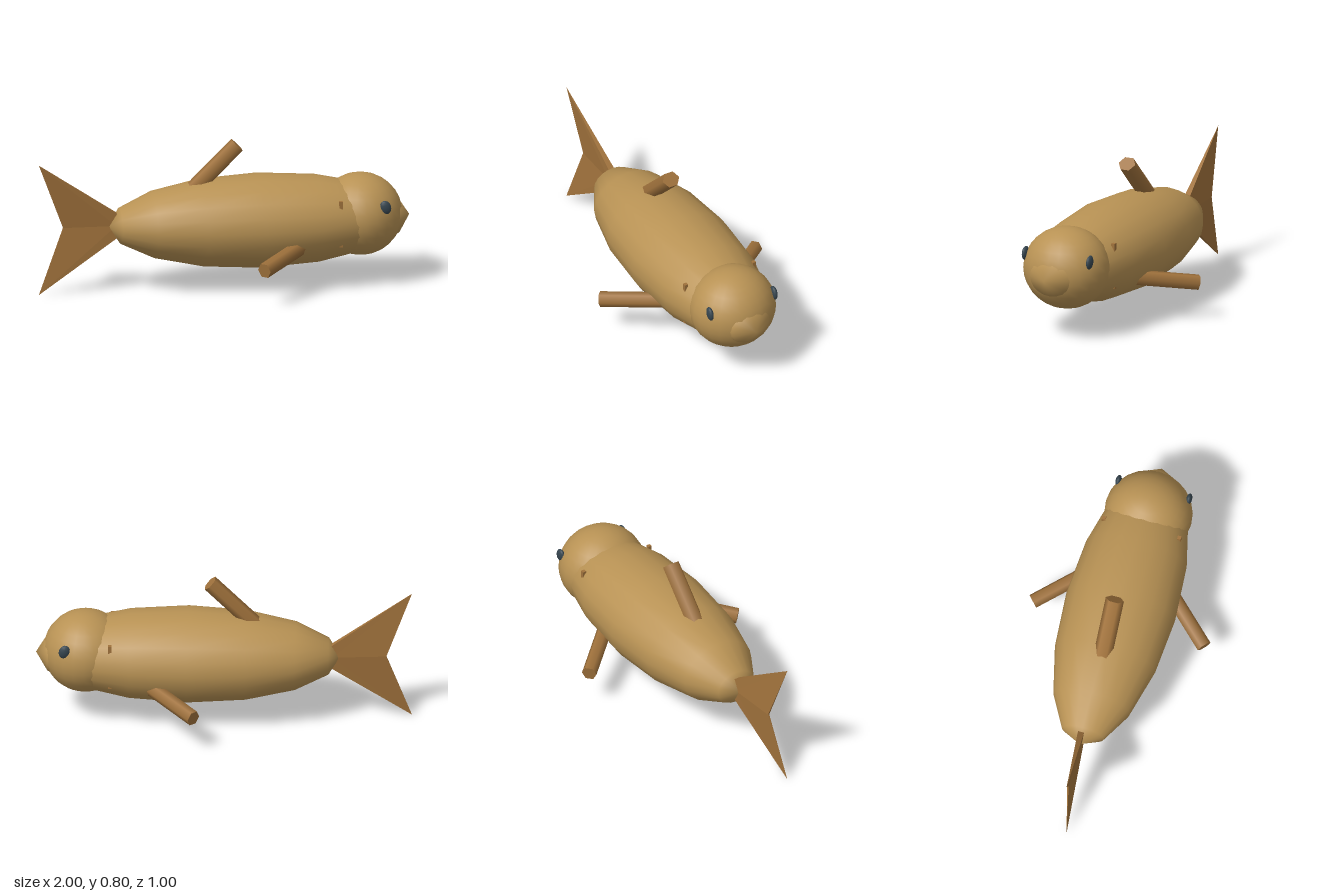
import * as THREE from 'three';

const paint = (color, extra = {}) => {
  const m = new THREE.MeshStandardMaterial(extra);
  m.color.set(color);
  return m;
};

export function createModel() {
  const fish = new THREE.Group();
  const skin = paint(0xb89254);
  const finMat = paint(0xa0723c);
  const tailMat = paint(0xa0723c, { flatShading: true, side: THREE.DoubleSide });
  const eyeMat = paint(0x36454f);

  const add = (name, geometry, material) => {
    const mesh = new THREE.Mesh(geometry, material);
    mesh.name = name;
    fish.add(mesh);
    return mesh;
  };

  // Body: long ellipsoid with its poles along x; the front pole is the snout
  add('body', new THREE.SphereGeometry(1, 20, 8)
    .rotateZ(-Math.PI / 2).scale(0.81, 0.25, 0.3).translate(0.19, 0.36, 0), skin);

  // Head
  add('head', new THREE.SphereGeometry(1, 24, 16)
    .scale(0.225, 0.221, 0.236).translate(0.737, 0.375, 0), skin);

  // Eyes and mostly buried gill bars
  for (const s of [1, -1]) {
    const side = s > 0 ? 'front' : 'back';
    add(side + 'Eye', new THREE.SphereGeometry(1, 12, 8)
      .scale(0.03, 0.038, 0.016).rotateZ(0.3).translate(0.842, 0.453, s * 0.195), eyeMat);
    add(side + 'Gill', new THREE.BoxGeometry(0.02, 0.25, 0.02)
      .translate(0.6, 0.375, s * 0.208), finMat);
  }

  // Six-sided fin from root to tip; "wide" is the direction of its corner-to-corner axis
  const fin = (name, root, tip, wide, halfWide, halfThick) => {
    const a = new THREE.Vector3(...root), b = new THREE.Vector3(...tip);
    const y = b.clone().sub(a);
    const length = y.length();
    y.normalize();
    const w = new THREE.Vector3(...wide);
    const z = w.addScaledVector(y, -w.dot(y)).normalize();
    const x = new THREE.Vector3().crossVectors(y, z);
    const g = new THREE.CylinderGeometry(1, 1, length, 6)
      .scale(halfThick / Math.cos(Math.PI / 6), 1, halfWide);
    g.applyMatrix4(new THREE.Matrix4().makeBasis(x, y, z)
      .setPosition(a.add(b).multiplyScalar(0.5)));
    add(name, g, finMat);
  };
  fin('dorsalFin', [-0.2, 0.51, 0], [0.073, 0.78, 0], [0, 0, 1], 0.05, 0.038);
  for (const s of [1, -1]) {
    fin(s > 0 ? 'frontSideFin' : 'backSideFin',
      [0.4, 0.264, s * 0.195], [0.145, 0.208, s * 0.473], [0.73, 0, s * 0.67], 0.04, 0.037);
  }

  // Tail: two swept lobes, thick at the root and bent towards +z at the tips
  for (const s of [1, -1]) {
    const p = (x, dy, z) => [x, 0.3625 + s * dy, z];
    const tip = p(-1, 0.357, 0.034), notch = p(-0.865, 0, 0.008), notchB = p(-0.865, 0, 0);
    const mid = p(-0.58, 0, 0.01), midB = p(-0.58, 0, -0.025);
    const edge = p(-0.55, 0.05, 0.01), edgeB = p(-0.55, 0.05, -0.025);
    let faces = [
      [tip, notch, mid], [tip, mid, edge], [tip, midB, notchB], [tip, edgeB, midB],
      [tip, notchB, notch], [tip, edge, edgeB],
    ];
    if (s < 0) faces = faces.map(([a, b, c]) => [a, c, b]);
    const g = new THREE.BufferGeometry();
    g.setAttribute('position', new THREE.Float32BufferAttribute(faces.flat(2), 3));
    g.computeVertexNormals();
    add(s > 0 ? 'upperTailLobe' : 'lowerTailLobe', g, tailMat);
  }

  return fish;
}
